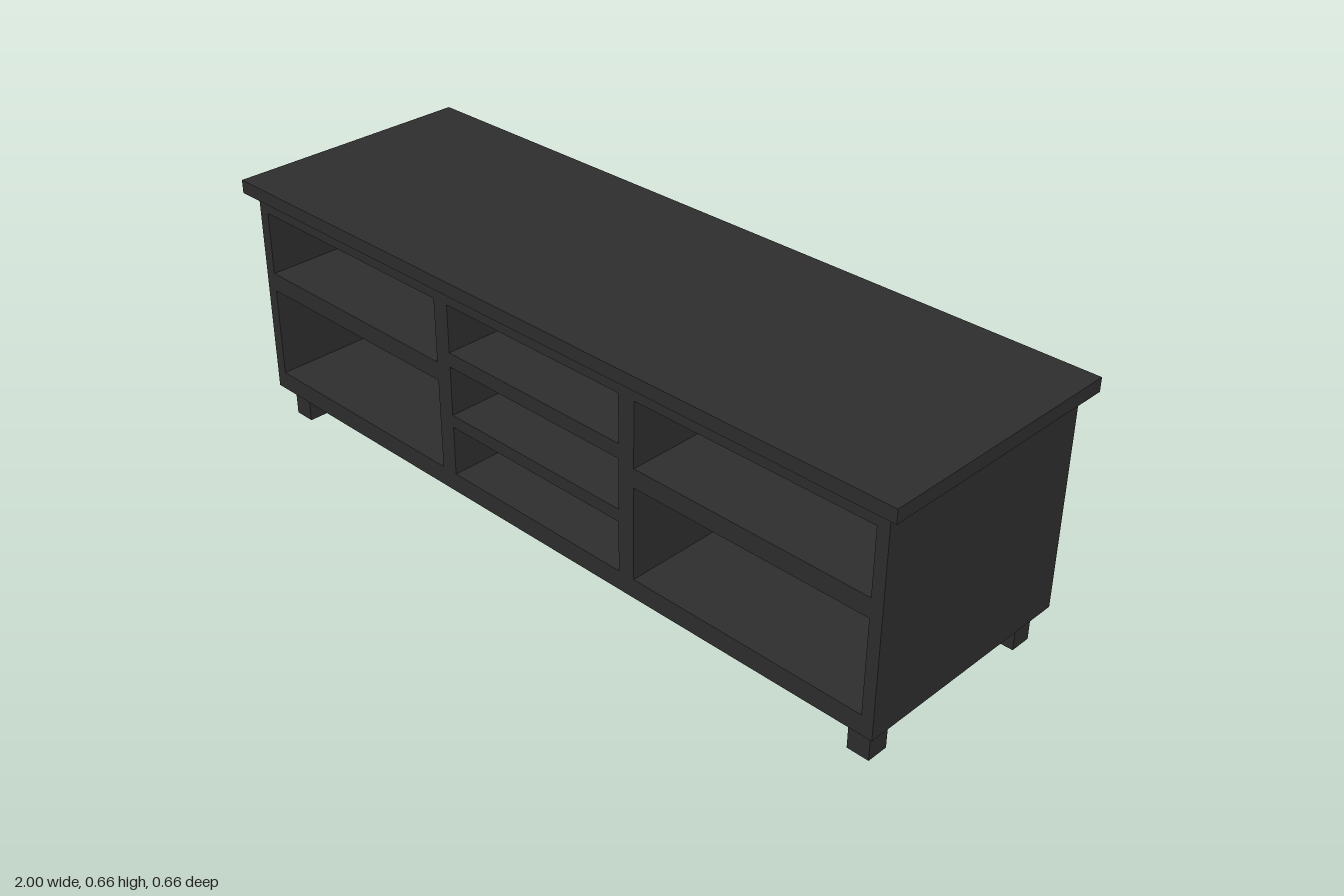
import * as THREE from 'three';

export function createModel() {
  const model = new THREE.Group();
  const blackWood = new THREE.MeshStandardMaterial({ color: 0x2e2e2e });
  blackWood.name = 'blackWood';

  function add(name, geometry, x, y, z) {
    const mesh = new THREE.Mesh(geometry, blackWood);
    mesh.name = name;
    mesh.position.set(x, y, z);
    model.add(mesh);
  }

  function rectangle(path, x0, x1, y0, y1) {
    path.moveTo(x0, y0);
    path.lineTo(x1, y0);
    path.lineTo(x1, y1);
    path.lineTo(x0, y1);
    path.closePath();
    return path;
  }

  const halfWidth = 0.97, halfDepth = 0.304, bottom = 0.085, top = 0.625;
  const backThickness = 0.03;

  // Compartments as [x0, x1, y0, y1]
  const openings = [
    [-0.27, 0.27, 0.46, 0.582],
    [-0.27, 0.27, 0.295, 0.423],
    [-0.27, 0.27, 0.134, 0.263],
  ];
  for (const [x0, x1] of [[-0.94, -0.315], [0.315, 0.94]]) {
    openings.push([x0, x1, 0.418, 0.582], [x0, x1, 0.134, 0.37]);
  }

  // Cabinet with open compartments running back to the rear panel
  const outline = rectangle(new THREE.Shape(), -halfWidth, halfWidth, bottom, top);
  for (const o of openings) outline.holes.push(rectangle(new THREE.Path(), ...o));
  const cabinet = new THREE.ExtrudeGeometry(outline, {
    depth: halfDepth * 2 - backThickness,
    bevelEnabled: false,
  });
  add('cabinet', cabinet, 0, 0, -halfDepth + backThickness);

  // Rear panel closing the compartments
  add('backPanel', new THREE.BoxGeometry(halfWidth * 2, top - bottom, backThickness),
    0, (top + bottom) / 2, -halfDepth + backThickness / 2);

  // Overhanging top board
  add('topBoard', new THREE.BoxGeometry(2, 0.034, 0.656), 0, 0.642, 0);

  // Four square feet
  const foot = new THREE.BoxGeometry(0.056, bottom, 0.056);
  for (const x of [-0.917, 0.917]) {
    for (const z of [-0.248, 0.246]) {
      add((z > 0 ? 'front' : 'back') + (x > 0 ? 'Left' : 'Right') + 'Foot', foot, x, bottom / 2, z);
    }
  }

  return model;
}
